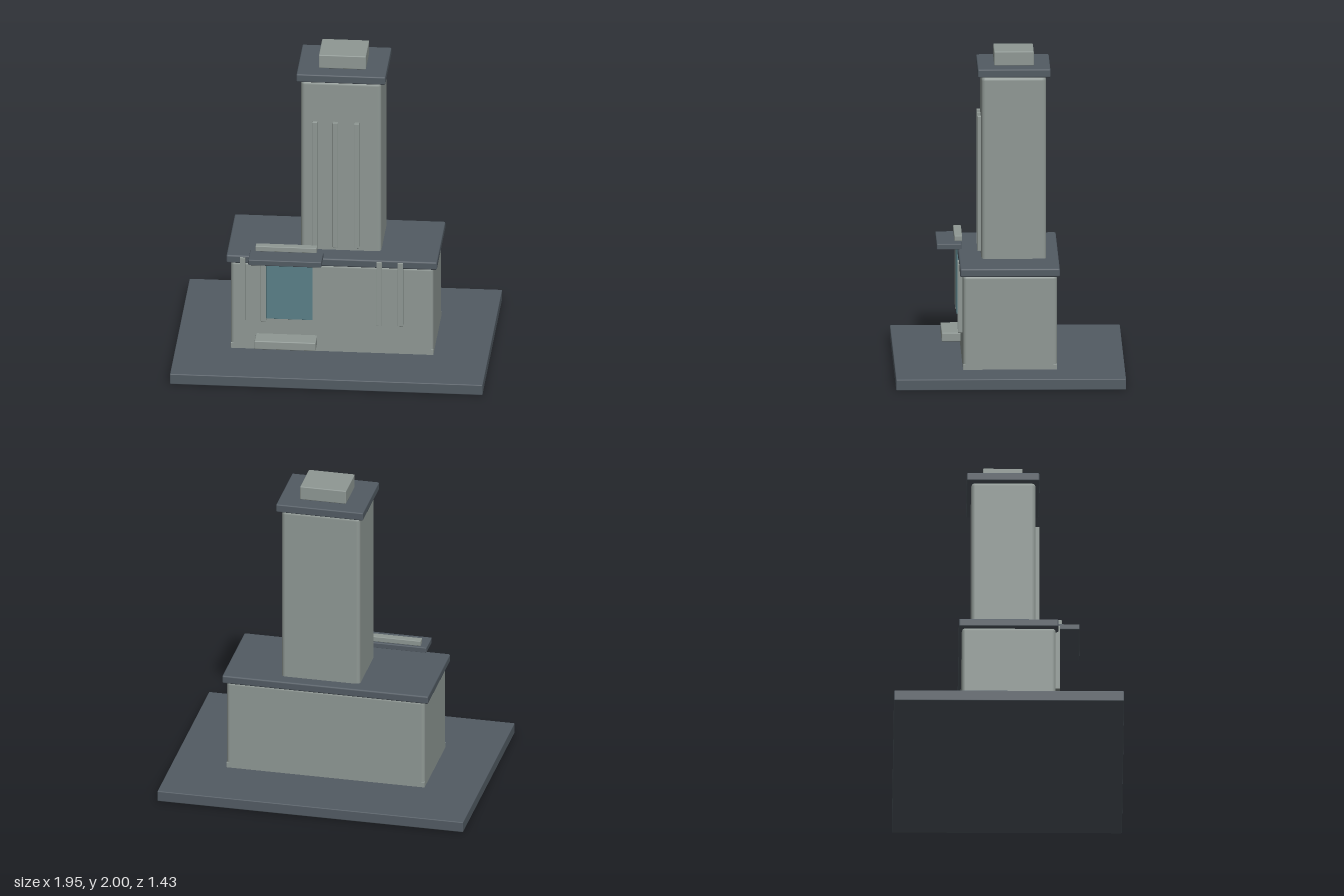
import * as THREE from 'three';
import { RoundedBoxGeometry } from 'three/addons/geometries/RoundedBoxGeometry.js';

function material(name, color) {
  const m = new THREE.MeshStandardMaterial({ color });
  m.name = name;
  return m;
}

export function createModel() {
  const group = new THREE.Group();
  group.name = 'towerBuilding';
  const stone = material('grey stone', 0x8f9894);
  const slate = material('dark slate', 0x525b63);
  const glass = material('teal glass', 0x5a8088);

  // Softly bevelled block given by its extents on each axis
  function block(name, mat, [x0, x1], [y0, y1], [z0, z1], radius = 0.006) {
    const geometry = new RoundedBoxGeometry(x1 - x0, y1 - y0, z1 - z0, 2, radius);
    const mesh = new THREE.Mesh(geometry, mat);
    mesh.position.set((x0 + x1) / 2, (y0 + y1) / 2, (z0 + z1) / 2);
    mesh.name = name;
    group.add(mesh);
  }

  // Ground slab and hall
  block('baseSlab', slate, [-0.975, 0.975], [0, 0.07], [-0.715, 0.715]);
  block('plinth', stone, [-0.632, 0.632], [0.06, 0.105], [-0.292, 0.292], 0.003);
  block('hall', stone, [-0.632, 0.632], [0.06, 0.662], [-0.292, 0.292], 0.022);
  block('hallRoof', slate, [-0.658, 0.656], [0.657, 0.71], [-0.31, 0.31], 0.01);

  // Tower with its stepped top
  block('tower', stone, [-0.205, 0.296], [0.67, 1.857], [-0.231, 0.171], 0.025);
  block('towerRoof', slate, [-0.231, 0.324], [1.857, 1.91], [-0.258, 0.194], 0.008);
  block('rooftopHousing', stone, [-0.1, 0.194], [1.91, 2], [-0.157, 0.09]);

  // Vertical ribs on the tower front
  for (const x of [-0.117, 0.012, 0.144]) {
    block('towerRib', stone, [x - 0.016, x + 0.016], [0.735, 1.585], [0.16, 0.194], 0.003);
  }

  // Pilasters on the hall front
  for (const x of [-0.556, -0.426, 0.296, 0.428]) {
    block('hallPilaster', stone, [x - 0.017, x + 0.017], [0.27, 0.7], [0.28, 0.32], 0.003);
  }

  // Entrance: glazing, canopy, raised band and step
  block('entranceGlass', glass, [-0.408, -0.12], [0.29, 0.705], [0.28, 0.318], 0.002);
  block('canopy', slate, [-0.51, -0.054], [0.706, 0.744], [0.288, 0.442]);
  block('canopyBand', stone, [-0.474, -0.092], [0.754, 0.788], [0.283, 0.332], 0.004);
  block('entranceStep', stone, [-0.474, -0.092], [0.12, 0.176], [0.28, 0.411]);

  return group;
}
